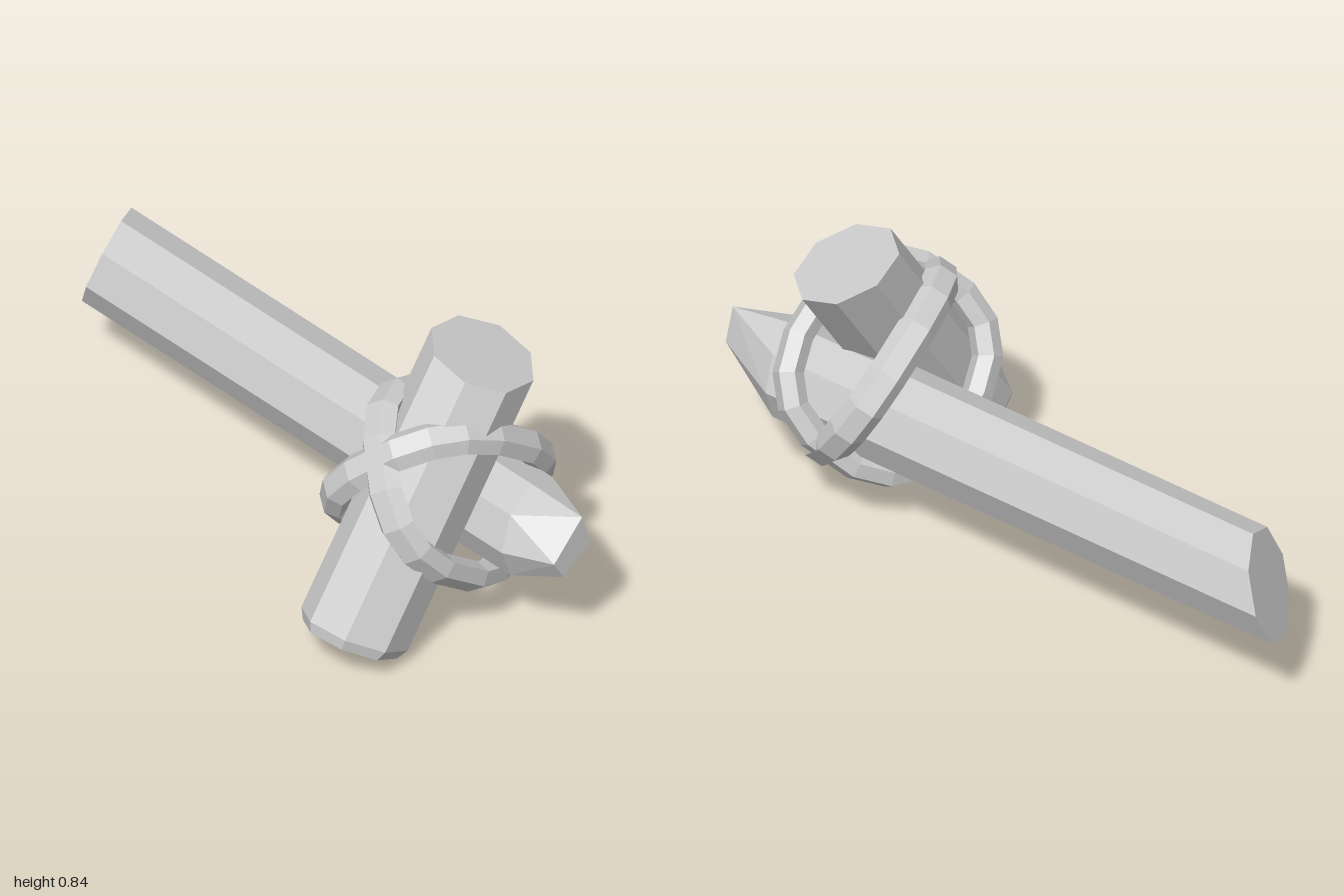
import * as THREE from 'three';
import { ConvexGeometry } from 'three/addons/geometries/ConvexGeometry.js';

const V = (x, y, z) => new THREE.Vector3(x, y, z);
const material = new THREE.MeshStandardMaterial({ color: 0xcccccc, flatShading: true, side: THREE.DoubleSide });

// Eight-sided ring around an axis, slid along the axis onto a cutting plane
function cutRing(axis, e1, e2, radius, turn, point, normal) {
  const pts = [];
  for (let i = 0; i < 8; i++) {
    const a = turn + (i * Math.PI) / 4;
    const p = point.clone().addScaledVector(e1, Math.cos(a) * radius).addScaledVector(e2, Math.sin(a) * radius);
    const t = normal.dot(point.clone().sub(p)) / normal.dot(axis);
    pts.push(p.addScaledVector(axis, t));
  }
  return pts;
}

// Flat rope loop: six-sided section swept around a rounded, squarish oval
function ropeLoop(center, n, d, semiN, semiD) {
  const axial = n.clone().cross(d).normalize();
  const segs = 16, sides = 6, pos = [], index = [];
  const soft = (v) => Math.sign(v) * Math.pow(Math.abs(v), 0.8);
  for (let i = 0; i < segs; i++) {
    const t = ((i + 0.5) / segs) * Math.PI * 2, c = Math.cos(t), s = Math.sin(t);
    const p = center.clone().addScaledVector(n, semiN * soft(c)).addScaledVector(d, semiD * soft(s));
    const out = n.clone().multiplyScalar(c * semiD).addScaledVector(d, s * semiN).normalize();
    for (let j = 0; j < sides; j++) {
      const a = ((j + 0.5) / sides) * Math.PI * 2;
      const q = p.clone().addScaledVector(out, Math.cos(a) * 0.042).addScaledVector(axial, Math.sin(a) * 0.055);
      pos.push(q.x, q.y, q.z);
      const i2 = (i + 1) % segs, j2 = (j + 1) % sides;
      const A = i * sides + j, B = i2 * sides + j, C = i2 * sides + j2, D = i * sides + j2;
      index.push(A, B, C, A, C, D);
    }
  }
  const g = new THREE.BufferGeometry();
  g.setAttribute('position', new THREE.Float32BufferAttribute(pos, 3));
  g.setIndex(index);
  g.computeVertexNormals();
  return g;
}

export function createModel() {
  const group = new THREE.Group();
  const add = (name, geometry) => {
    const mesh = new THREE.Mesh(geometry, material);
    mesh.name = name;
    group.add(mesh);
  };
  const X = V(1, 0, 0);

  // Long pole: slanted cut on one end, whittled blunt tip on the other
  const Y = V(0, 1, 0), Z = V(0, 0, 1);
  add('longPole', new ConvexGeometry([
    ...cutRing(X, Y, Z, 0.145, 0, V(-0.91, 0.345, -0.19), V(1, -0.4, -0.5)),
    ...cutRing(X, Y, Z, 0.145, 0, V(0.81, 0.345, -0.19), V(1, 0, -0.25)),
    V(1, 0.36, -0.1), V(1, 0.47, -0.205), V(1, 0.37, -0.235), V(1, 0.3, -0.135),
  ]));

  // Short pole: leans back across the long one, bevelled foot, slanted top
  const up = V(0, 0.812, -0.584), fwd = V(0, 0.584, 0.812);
  const footCut = V(0, 1, -0.55);
  add('shortPole', new ConvexGeometry([
    ...cutRing(up, X, fwd, 0.14, 0.2, V(0.585, 0.073, 0.282), footCut),
    ...cutRing(up, X, fwd, 0.158, 0.2, V(0.585, 0.1, 0.265), footCut),
    ...cutRing(up, X, fwd, 0.158, 0.2, V(0.58, 0.793, -0.22), V(0.25, 1, -0.3)),
  ]));

  // Two rope loops crossing diagonally around both poles
  for (const side of [1, -1]) {
    const diagonal = X.clone().multiplyScalar(0.175).addScaledVector(up, side * 0.2);
    const semi = diagonal.length();
    const center = V(side > 0 ? 0.54 : 0.565, 0.415, -0.09);
    add(side > 0 ? 'risingRope' : 'fallingRope', ropeLoop(center, fwd, diagonal.normalize(), 0.29, semi));
  }
  return group;
}
